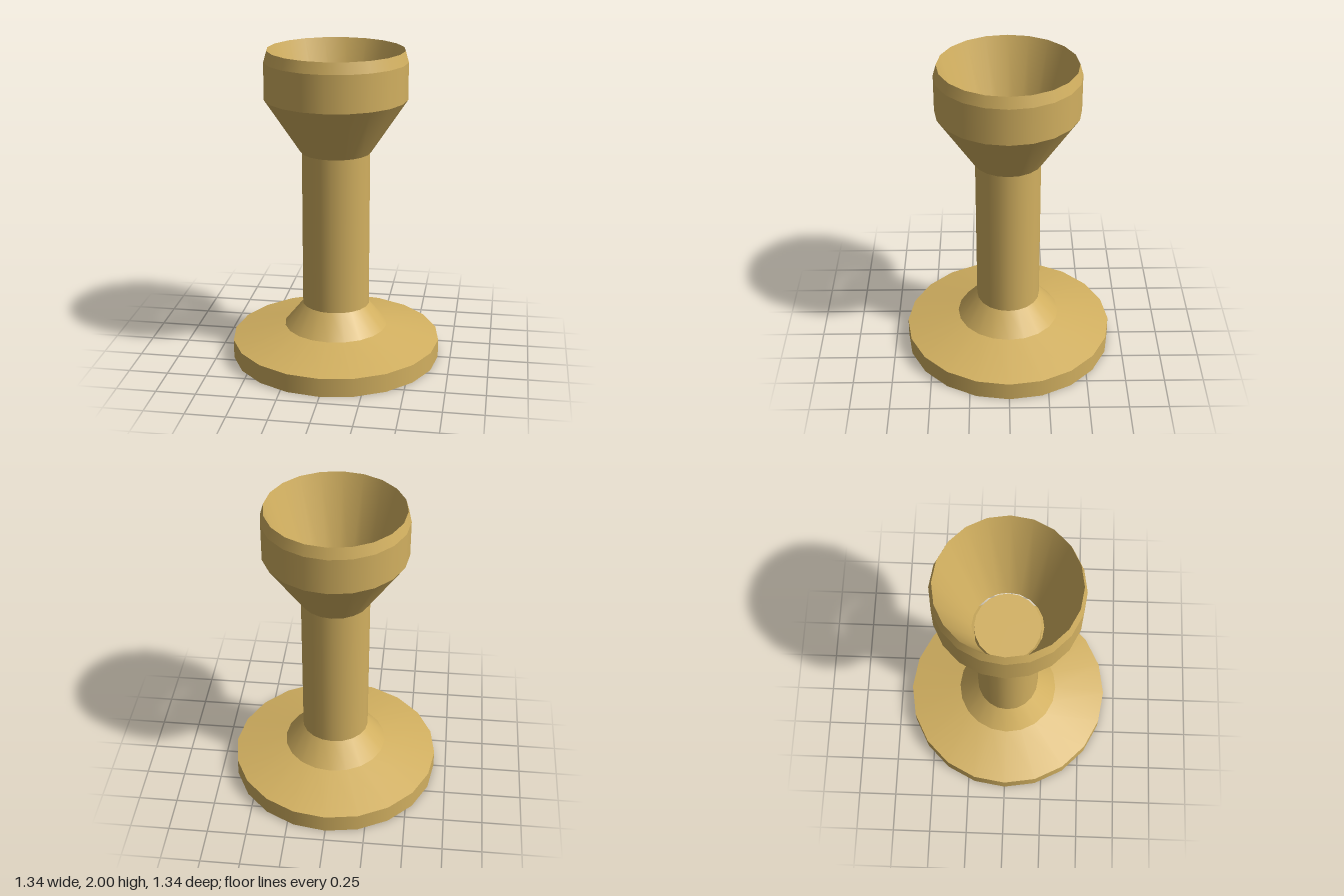
import * as THREE from 'three';
import { mergeGeometries } from 'three/addons/utils/BufferGeometryUtils.js';

const SIDES = 20;
const OVAL = 0.95; // the stem is slightly flattened front to back

// One smooth ring per profile segment, so the edges between segments stay sharp
function turned(profile) {
  const bands = [];
  for (let i = 0; i < profile.length - 1; i++) {
    const pts = [profile[i], profile[i + 1]].map(([r, y]) => new THREE.Vector2(r, y));
    bands.push(new THREE.LatheGeometry(pts, SIDES));
  }
  return mergeGeometries(bands);
}

export function createModel() {
  const group = new THREE.Group();
  const material = new THREE.MeshStandardMaterial({ color: 0xd2b060 });
  const add = (name, geometry) => {
    const mesh = new THREE.Mesh(geometry, material);
    mesh.name = name;
    group.add(mesh);
  };

  // Round foot with a shallow sloping top
  add('base', turned([[0, 0], [0.67, 0], [0.67, 0.12], [0.33, 0.205]]));

  // Flared collar, round at the foot and oval where it meets the stem
  const collar = turned([[0.335, 0.2], [0.213, 0.35]]);
  const p = collar.attributes.position;
  for (let i = 0; i < p.count; i++) {
    if (p.getY(i) > 0.3) p.setZ(i, p.getZ(i) * OVAL);
  }
  add('collar', collar);

  // Oval stem, whose flat end forms the floor of the cup
  const stem = turned([[0.215, 0.35], [0.215, 1.36], [0, 1.36]]);
  stem.scale(1, 1, OVAL);
  add('stem', stem);

  // Cup: outer wall with a bevelled rim, then the straight conical inside
  add('cup', turned([
    [0.22, 1.36], [0.445, 1.7], [0.445, 1.93], [0.425, 2], [0.22, 1.36],
  ]));

  return group;
}
